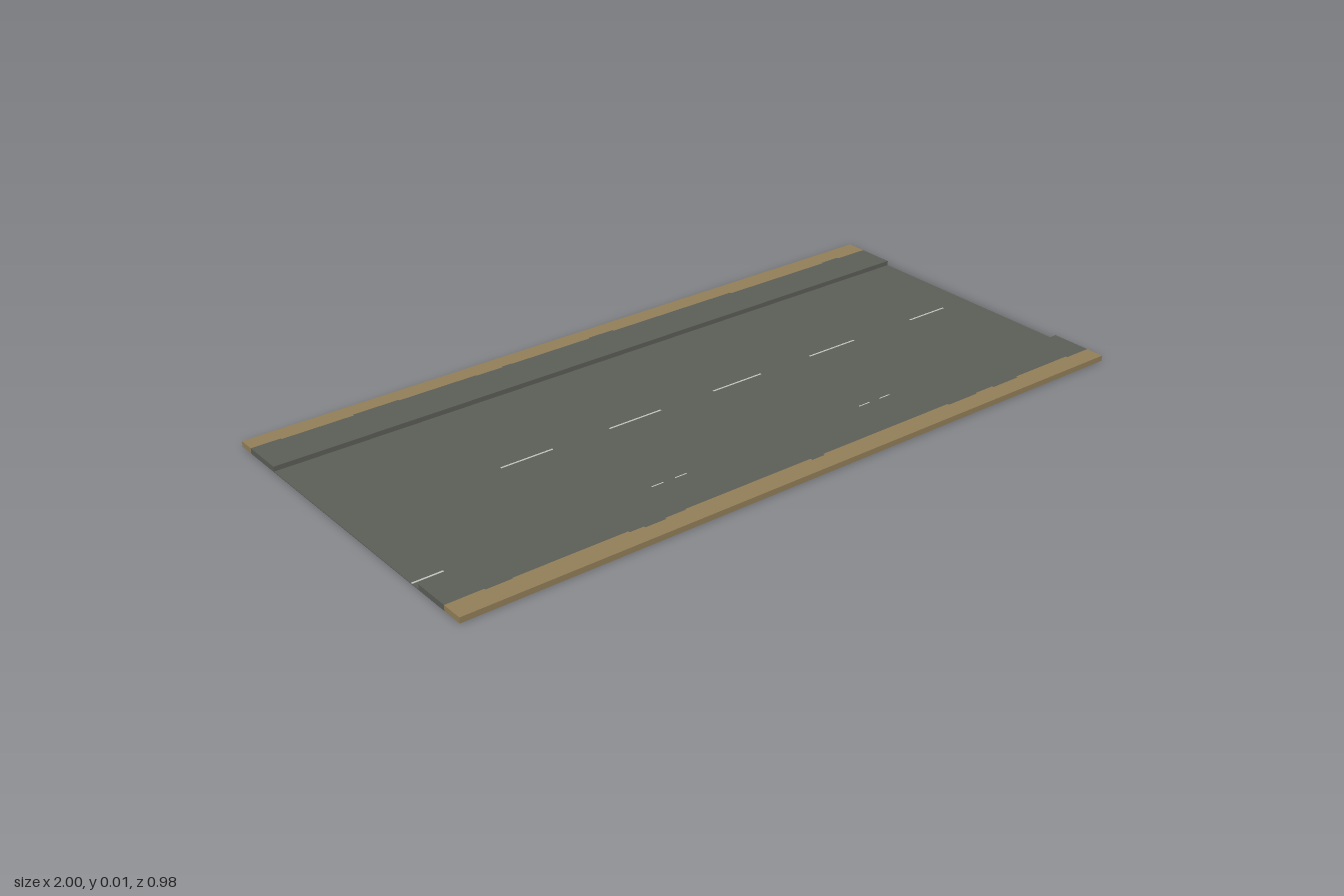
import * as THREE from 'three';

const KERB = 0.327, OUTER = 0.49, HEIGHT = 0.015, ROAD = 0.002;

export function createModel() {
  const group = new THREE.Group();
  group.name = 'roadSection';
  const material = (name, color) => {
    const m = new THREE.MeshStandardMaterial({ color });
    m.name = name;
    return m;
  };
  const asphalt = material('asphalt grey', 0x5c5e58);
  const earth = material('dry earth', 0x93805a);
  const paint = material('road paint', 0xc4c5bf);

  const add = (name, geometry, mat) => {
    const mesh = new THREE.Mesh(geometry, mat);
    mesh.name = name;
    group.add(mesh);
  };

  // Horizontal slab between two x-z outlines, standing on the ground
  const slab = (inner, outer) => {
    const points = [...inner, ...[...outer].reverse()].map(([x, z]) => new THREE.Vector2(x, z));
    const geometry = new THREE.ExtrudeGeometry(new THREE.Shape(points), { depth: HEIGHT, bevelEnabled: false });
    return geometry.rotateX(Math.PI / 2).translate(0, HEIGHT, 0);
  };
  const straight = (z) => [[-1, z], [1, z]];

  // Carriageway
  add('carriageway', new THREE.BoxGeometry(2, ROAD, KERB * 2).translate(0, ROAD / 2, 0), asphalt);

  // Raised pavements with a worn, uneven earth border: [x start, border z]
  const borders = {
    front: [[-1, 0.43], [-0.9, 0.434], [-0.83, 0.431], [-0.52, 0.436], [-0.48, 0.441], [-0.42, 0.436],
      [-0.36, 0.433], [0.02, 0.44], [0.06, 0.434], [0.48, 0.439], [0.58, 0.435], [0.64, 0.44], [0.73, 0.434], [0.92, 0.439]],
    back: [[-1, -0.444], [-0.92, -0.44], [-0.72, -0.445], [-0.59, -0.441], [-0.36, -0.438], [-0.28, -0.442],
      [-0.25, -0.44], [0, -0.444], [0.08, -0.439], [0.49, -0.434], [0.84, -0.438], [0.9, -0.433]],
  };
  for (const [side, steps] of Object.entries(borders)) {
    const sign = side === 'front' ? 1 : -1;
    const edge = steps.flatMap(([x, z], i) => [[x, z], [i + 1 < steps.length ? steps[i + 1][0] : 1, z]]);
    add(side + 'Pavement', slab(straight(sign * KERB), edge), asphalt);
    add(side + 'EarthBorder', slab(edge, straight(sign * OUTER)), earth);
  }

  // Centre dashes and small edge marks: [x start, x end, z, width]
  const marks = [
    [-0.57, -0.42, -0.008, 0.005], [-0.25, -0.09, -0.008, 0.005], [0.08, 0.24, -0.008, 0.005],
    [0.41, 0.57, -0.008, 0.005], [0.78, 0.91, -0.008, 0.005], [-1, -0.92, 0.298, 0.005],
    [-0.345, -0.31, 0.287, 0.003], [-0.275, -0.24, 0.287, 0.003],
    [0.315, 0.35, 0.287, 0.003], [0.385, 0.42, 0.287, 0.003],
  ];
  for (const [x0, x1, z, width] of marks) {
    add('paintedMark', new THREE.BoxGeometry(x1 - x0, 0.0006, width).translate((x0 + x1) / 2, ROAD + 0.0003, z), paint);
  }
  return group;
}
